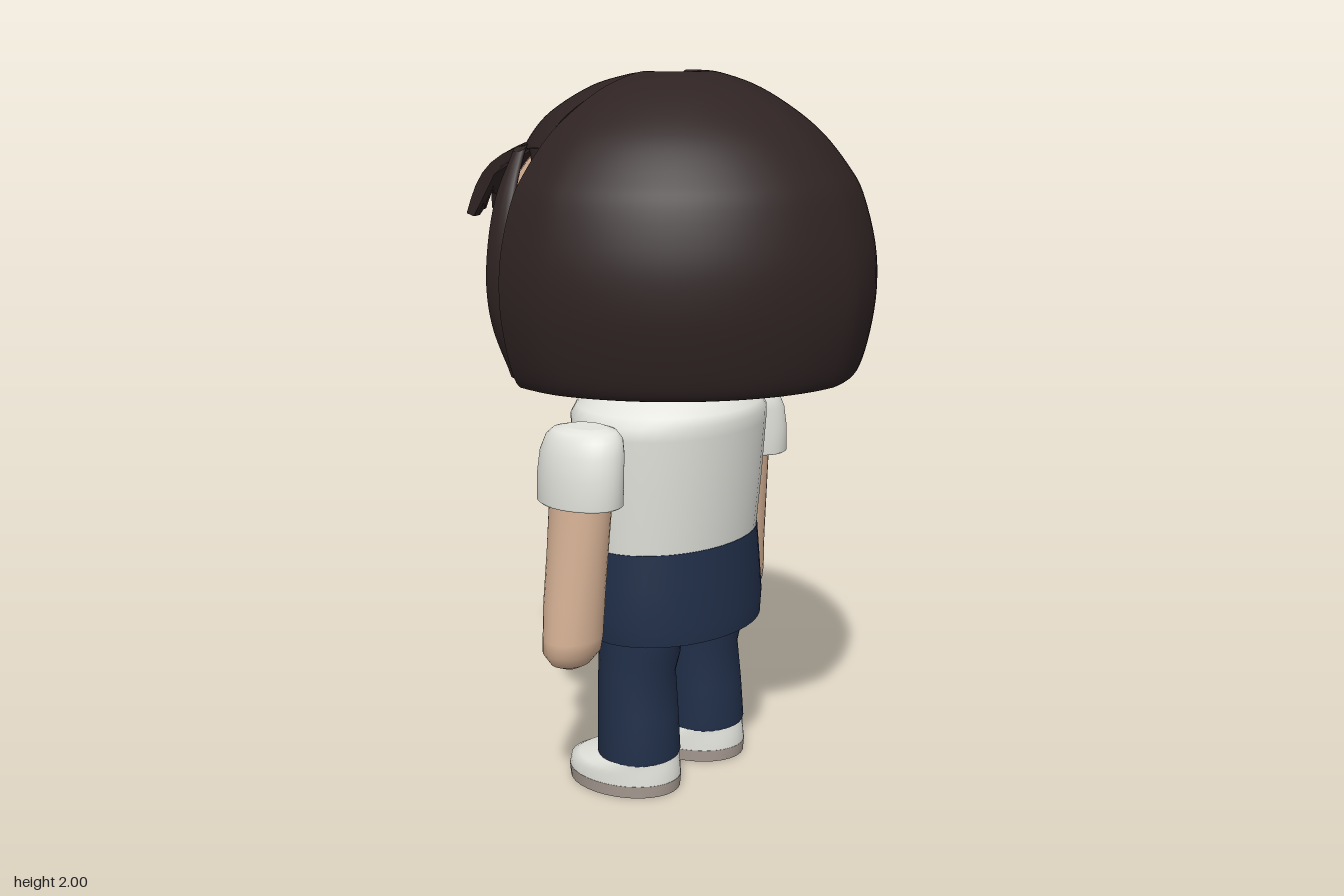
import * as THREE from 'three';

const mat = (name, color, side = THREE.FrontSide) => {
  const m = new THREE.MeshStandardMaterial({ color, side });
  m.name = name;
  return m;
};

// Skin a list of closed rings (ordered bottom to top) and close both ends.
function loft(rings) {
  const pos = [], idx = [], n = rings[0].length;
  const add = p => pos.push(p.x, p.y, p.z) / 3 - 1;
  rings.forEach(r => r.forEach(add));
  for (let i = 0; i < rings.length - 1; i++) for (let j = 0; j < n; j++) {
    const a = i * n + j, b = i * n + (j + 1) % n, c = b + n, d = a + n;
    idx.push(a, d, b, b, d, c);
  }
  [rings[0], rings[rings.length - 1]].forEach((r, top) => {
    const mid = r.reduce((s, p) => s.add(p), new THREE.Vector3()).divideScalar(n);
    const c = add(mid), s = pos.length / 3;
    r.forEach(add);
    for (let j = 0; j < n; j++) {
      const a = s + j, b = s + (j + 1) % n;
      top ? idx.push(c, b, a) : idx.push(c, a, b);
    }
  });
  const g = new THREE.BufferGeometry();
  g.setAttribute('position', new THREE.Float32BufferAttribute(pos, 3));
  g.setIndex(idx);
  g.computeVertexNormals();
  return g;
}

// Stack of ellipses: rows of [y, centre x, centre z, radius x, radius z].
function stack(rows, n = 32) {
  return loft(rows.map(([y, cx, cz, rx, rz]) => Array.from({ length: n }, (_, j) => {
    const t = j / n * Math.PI * 2;
    return new THREE.Vector3(cx + rx * Math.cos(t), y, cz + rz * Math.sin(t));
  })));
}

const profile = (pts, n = 40) =>
  new THREE.SplineCurve(pts.map(p => new THREE.Vector2(...p))).getPoints(n);

// Move every vertex by a rule that edits the vector in place.
function bend(geo, rule) {
  const p = geo.attributes.position, v = new THREE.Vector3();
  for (let i = 0; i < p.count; i++) {
    rule(v.fromBufferAttribute(p, i));
    p.setXYZ(i, v.x, v.y, v.z);
  }
  geo.computeVertexNormals();
  return geo;
}

export function createModel() {
  const model = new THREE.Group();
  model.name = 'character';
  const skin = mat('skin', 0xd9b497);
  const hair = mat('dark brown hair', 0x2f2323, THREE.DoubleSide);
  const white = mat('white cloth', 0xe4e4de);
  const navy = mat('navy cloth', 0x212f49);
  const sole = mat('taupe sole', 0xa89c93);
  const blush = mat('blush', 0xd2a380);
  const eyeGrey = mat('pale grey', 0xb9c0c3);
  const part = (name, geo, m, parent = model) => {
    const mesh = new THREE.Mesh(geo, m);
    mesh.name = name;
    parent.add(mesh);
    return mesh;
  };
  const dot = (name, m, x, y, z, sx, sy, sz) => {
    const d = part(name, new THREE.SphereGeometry(1, 16, 10), m);
    d.position.set(x, y, z);
    d.scale.set(sx, sy, sz);
  };

  // Head and neck
  const headProfile = profile([[0, 1.18], [0.2, 1.2], [0.25, 1.235], [0.32, 1.268], [0.4, 1.31],
    [0.465, 1.37], [0.49, 1.44], [0.492, 1.51], [0.477, 1.6], [0.435, 1.72], [0.33, 1.84],
    [0.18, 1.92], [0, 1.95]]);
  part('head', new THREE.LatheGeometry(headProfile, 48), skin).position.z = -0.03;
  part('neck', stack([[1.1, 0, -0.065, 0.18, 0.17], [1.16, 0, -0.065, 0.185, 0.17],
    [1.2, 0, -0.062, 0.2, 0.185], [1.26, 0, -0.05, 0.24, 0.23]]), skin);

  // Face, looking towards -z
  for (const s of [1, -1]) {
    dot('eye', eyeGrey, s * 0.19, 1.51, -0.483, 0.018, 0.018, 0.012);
    dot('eyeSparkle', eyeGrey, s * 0.18, 1.445, -0.487, 0.011, 0.011, 0.01);
    dot('cheek', blush, s * 0.36, 1.42, -0.376, 0.027, 0.016, 0.012);
  }
  dot('nose', skin, 0, 1.41, -0.512, 0.016, 0.013, 0.014);
  dot('mouth', hair, 0, 1.368, -0.49, 0.024, 0.01, 0.012);

  // Bob: a thick shell swept round the back, open at the face
  const bobProfile = profile([[0.4, 1.36], [0.44, 1.26], [0.465, 1.215], [0.5, 1.195], [0.527, 1.225],
    [0.553, 1.32], [0.567, 1.43], [0.56, 1.55], [0.525, 1.68], [0.485, 1.75], [0.415, 1.835],
    [0.335, 1.9], [0.24, 1.957], [0.15, 1.99], [0.09, 2], [0.05, 1.985], [0, 1.965]], 64);
  const half = THREE.MathUtils.degToRad(105);
  part('hairBob', bend(new THREE.LatheGeometry(bobProfile, 56, -half, half * 2), v => {
    const a = Math.max(0, Math.atan2(v.z, Math.abs(v.x)));
    const f = 1 - 0.05 * Math.sin(2 * a) + 0.03 * Math.sin(a) ** 2;
    v.set(v.x * f, v.y, v.z * f);
  }), hair).position.z = -0.04;
  const edgeShape = new THREE.Shape([...bobProfile, ...[[0, 1.93], [0.28, 1.85], [0.4, 1.73],
    [0.45, 1.6], [0.44, 1.46]].map(p => new THREE.Vector2(...p))]);
  for (const s of [1, -1]) {
    const edge = part('hairBobEdge', new THREE.ShapeGeometry(edgeShape), hair);
    edge.position.z = -0.04;
    edge.rotation.y = s * half - Math.PI / 2;
  }
  const whorl = part('crownWhorl', new THREE.SphereGeometry(0.062, 20, 12), hair);
  whorl.position.set(0, 1.968, 0);
  whorl.scale.y = 0.4;

  // Cap of hair over the forehead, fanning out to meet the bob at the crown
  const capProfile = profile([[0.34, 1.83], [0.37, 1.805], [0.4, 1.805], [0.34, 1.885],
    [0.23, 1.956], [0.14, 1.986], [0.08, 1.994], [0, 1.975]], 36);
  const capHalf = THREE.MathUtils.degToRad(69);
  part('hairCap', bend(new THREE.LatheGeometry(capProfile, 36, Math.PI - capHalf, capHalf * 2), v => {
    const r = Math.hypot(v.x, v.z);
    const a = Math.atan2(v.x, -v.z) * (1 + 0.13 * (1 - r / 0.4));
    v.set(r * Math.sin(a), v.y, -r * Math.cos(a));
  }), hair).position.z = -0.04;
  for (const s of [1, -1]) {
    const tip = part('capTip', new THREE.ConeGeometry(0.018, 0.12, 8), hair);
    tip.position.set(s * 0.385, 1.75, -0.195);
    tip.rotation.x = Math.PI;
  }

  // Fringe: slab flaring away from the forehead, with a ragged lower edge
  const teeth = [1.0, 1.0, 0.95, 0.8, 0.82, 1.0, 1.04, 0.86, 0.84, 1.0, 1.04, 0.84, 0.84,
    1.0, 1.05, 0.86, 0.82, 1.0, 1.04, 0.8, 0.8, 0.98, 0.95, 1.02, 1.05];
  const cols = 96, steps = 7;
  const fringePoint = (u, v, inset) => {
    const t = u * 0.87, bulge = 0.03 * Math.sin(Math.PI * Math.min(v, 1));
    const L = THREE.MathUtils.lerp;
    return new THREE.Vector3(
      L(0.395 * Math.sin(t), 0.35 * u, Math.sqrt(v)) * (1 - inset),
      L(1.812, 1.62, v) + bulge - inset * 0.4,
      L(-0.04 - 0.395 * Math.cos(t), -0.537 + 0.055 * u * u, v) - bulge + inset);
  };
  const fringe = [];
  for (let i = 0; i <= cols; i++) {
    const u = i / cols * 2 - 1, k = i / cols * (teeth.length - 1);
    const k0 = Math.floor(k), k1 = Math.min(k0 + 1, teeth.length - 1);
    const len = THREE.MathUtils.lerp(teeth[k0], teeth[k1], THREE.MathUtils.smoothstep(k - k0, 0.2, 0.8));
    const ring = [];
    for (let j = 0; j <= steps; j++) ring.push(fringePoint(u, j / steps * len, 0));
    for (let j = steps; j >= 0; j--) ring.push(fringePoint(u, j / steps * len, 0.02));
    fringe.push(ring);
  }
  part('fringe', loft(fringe), hair);

  // Loose lock beside one cheek
  const lockPath = new THREE.CatmullRomCurve3([[-0.32, 1.8, -0.31], [-0.39, 1.68, -0.3],
    [-0.436, 1.5, -0.285], [-0.425, 1.35, -0.285], [-0.37, 1.2, -0.29]].map(p => new THREE.Vector3(...p)));
  const lock = lockPath.getPoints(24).map((p, i) => {
    const w = 0.018 + 0.03 * Math.sin(Math.PI * (i / 24) ** 1.3);
    return Array.from({ length: 12 }, (_, j) => {
      const t = j / 12 * Math.PI * 2;
      return new THREE.Vector3(p.x + 0.018 * Math.sin(t), p.y + 0.008 * Math.sin(t), p.z + w * Math.cos(t));
    });
  });
  part('sideLock', loft(lock), hair);

  // Torso and hips
  part('shirt', stack([[0.71, 0, -0.05, 0.29, 0.215], [0.88, 0, -0.052, 0.302, 0.235],
    [1.04, 0, -0.055, 0.31, 0.252], [1.075, 0, -0.055, 0.308, 0.254], [1.1, 0, -0.055, 0.285, 0.245],
    [1.13, 0, -0.06, 0.235, 0.215], [1.152, 0, -0.065, 0.2, 0.187]], 40), white);
  part('hips', stack([[0.46, 0, -0.043, 0.295, 0.225], [0.52, 0, -0.043, 0.303, 0.226],
    [0.62, 0, -0.047, 0.3, 0.222], [0.72, 0, -0.05, 0.293, 0.218]], 40), navy);

  // Limbs, mirrored
  for (const s of [1, -1]) {
    const side = new THREE.Group();
    side.name = s > 0 ? 'leftLimbs' : 'rightLimbs';
    model.add(side);
    const mirrored = rows => stack(rows.map(([y, x, ...r]) => [y, s * x, ...r]));
    part('sleeve', mirrored([[0.88, 0.388, -0.06, 0.085, 0.122], [0.885, 0.388, -0.06, 0.09, 0.13],
      [0.96, 0.386, -0.06, 0.089, 0.131], [1.02, 0.378, -0.06, 0.088, 0.127],
      [1.06, 0.368, -0.06, 0.082, 0.115], [1.078, 0.365, -0.06, 0.07, 0.095],
      [1.086, 0.36, -0.06, 0.045, 0.06]]), white, side);
    part('arm', mirrored([[0.41, 0.39, -0.1, 0.025, 0.022], [0.425, 0.39, -0.1, 0.06, 0.05],
      [0.46, 0.39, -0.095, 0.088, 0.073], [0.5, 0.388, -0.092, 0.09, 0.077],
      [0.6, 0.383, -0.09, 0.088, 0.081], [0.75, 0.377, -0.08, 0.082, 0.085],
      [0.92, 0.37, -0.07, 0.078, 0.09]]), skin, side);
    part('leg', mirrored([[0.09, 0.157, -0.048, 0.115, 0.112], [0.105, 0.157, -0.048, 0.12, 0.117],
      [0.22, 0.155, -0.052, 0.116, 0.114], [0.34, 0.152, -0.058, 0.114, 0.108],
      [0.4, 0.15, -0.05, 0.113, 0.118], [0.5, 0.148, -0.05, 0.113, 0.122]]), navy, side);
    part('shoeSole', mirrored([[0, 0.157, -0.1, 0.131, 0.173], [0.035, 0.157, -0.1, 0.134, 0.176]]),
      sole, side);
    part('shoe', mirrored([[0.035, 0.157, -0.1, 0.133, 0.175], [0.062, 0.157, -0.098, 0.132, 0.171],
      [0.08, 0.157, -0.083, 0.128, 0.152], [0.1, 0.157, -0.05, 0.118, 0.115]]), white, side);
  }
  return model;
}
